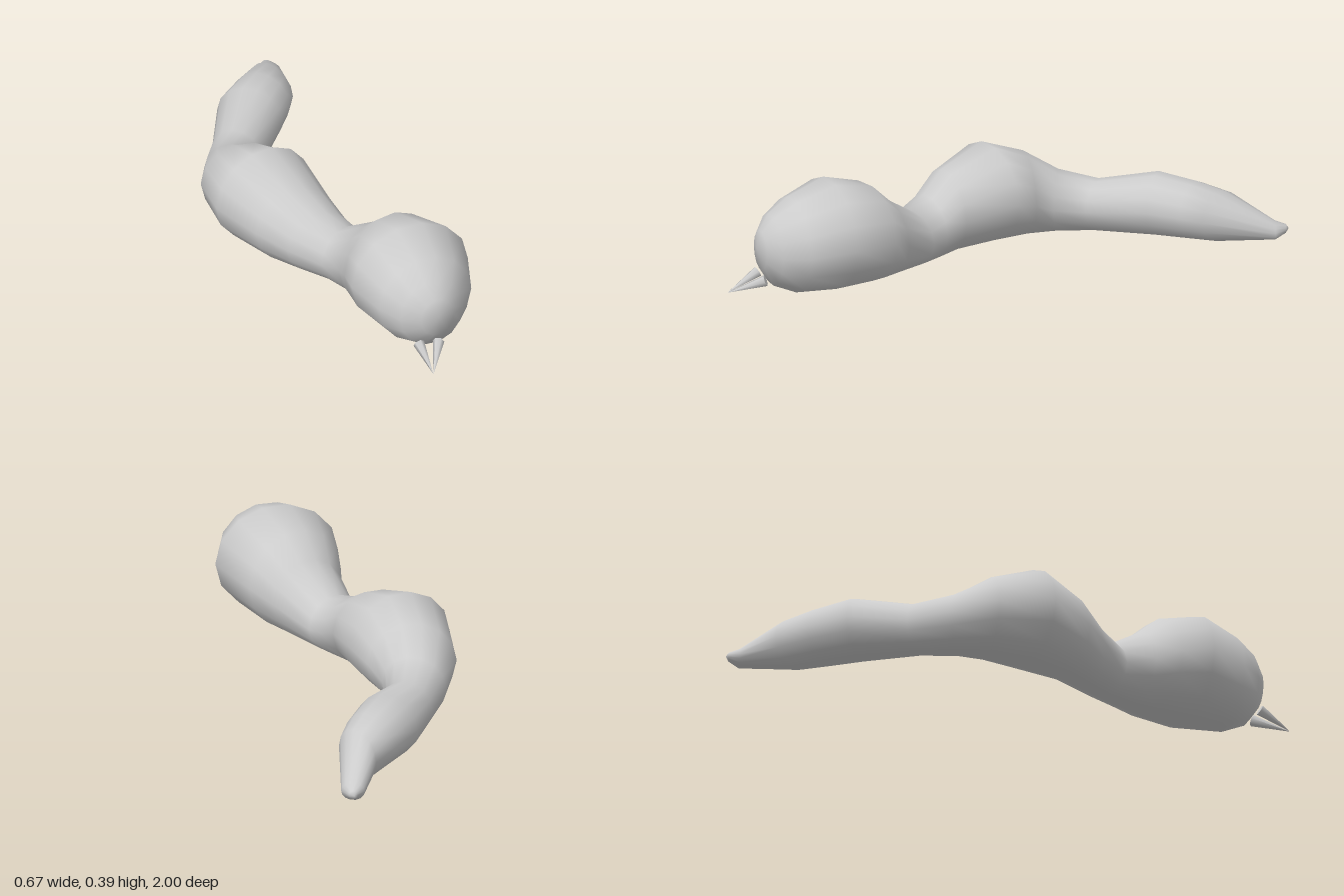
import * as THREE from 'three';

const SIDES = 14;

// Body rings from head to tail: right edge (x, z), left edge (x, z), bottom y, top y
const RINGS = [
  [0.06, 0.90, 0.18, 0.90, 0.11, 0.25],
  [0.00, 0.86, 0.23, 0.86, 0.05, 0.30],
  [-0.05, 0.79, 0.29, 0.78, 0.02, 0.35],
  [-0.10, 0.66, 0.335, 0.63, 0.015, 0.40],
  [-0.085, 0.55, 0.257, 0.45, 0.01, 0.36],
  [-0.07, 0.46, 0.19, 0.38, 0.01, 0.285],
  [-0.09, 0.345, 0.095, 0.25, 0.007, 0.20],
  [-0.17, 0.24, 0.07, 0.19, 0.005, 0.225],
  [-0.25, 0.145, 0.045, 0.11, 0.005, 0.285],
  [-0.335, -0.01, 0.03, -0.09, 0.004, 0.345],
  [-0.315, -0.21, -0.01, -0.17, 0.005, 0.29],
  [-0.245, -0.357, -0.045, -0.246, 0.004, 0.215],
  [-0.165, -0.49, -0.03, -0.36, 0.003, 0.182],
  [-0.075, -0.675, 0.105, -0.525, 0.002, 0.22],
  [0.03, -0.78, 0.17, -0.62, 0.002, 0.20],
  [0.115, -0.86, 0.207, -0.69, 0.001, 0.175],
  [0.18, -0.965, 0.257, -0.94, 0, 0.065],
  [0.21, -0.995, 0.24, -0.985, 0.02, 0.05],
];

// Smooth skin lofted through the rings and closed at both ends
function bodyGeometry() {
  const pos = [], index = [];
  for (const [rx, rz, lx, lz, y0, y1] of RINGS) {
    for (let j = 0; j < SIDES; j++) {
      const a = (j / SIDES) * Math.PI * 2;
      const t = 0.5 + 0.5 * Math.cos(a);
      pos.push(rx + (lx - rx) * t, (y0 + y1) / 2 + Math.sin(a) * (y1 - y0) / 2, rz + (lz - rz) * t);
    }
  }
  const nose = pos.length / 3, tail = nose + 1, last = (RINGS.length - 1) * SIDES;
  pos.push(0.12, 0.19, 0.915, 0.225, 0.035, -1);
  for (let j = 0; j < SIDES; j++) {
    const k = (j + 1) % SIDES;
    for (let i = 0; i < last; i += SIDES) {
      index.push(i + j, i + SIDES + j, i + k, i + k, i + SIDES + j, i + SIDES + k);
    }
    index.push(nose, j, k, tail, last + k, last + j);
  }
  const geo = new THREE.BufferGeometry();
  geo.setAttribute('position', new THREE.Float32BufferAttribute(pos, 3));
  geo.setIndex(index);
  geo.computeVertexNormals();
  return geo;
}

// Pointed fang running from its root to the shared tip
function fang(root, tip, material) {
  const dir = tip.clone().sub(root);
  const mesh = new THREE.Mesh(new THREE.ConeGeometry(0.02, dir.length(), 6), material);
  mesh.position.copy(root).add(tip).multiplyScalar(0.5);
  mesh.quaternion.setFromUnitVectors(new THREE.Vector3(0, 1, 0), dir.normalize());
  return mesh;
}

export function createModel() {
  const model = new THREE.Group();
  model.name = 'grub';
  const skin = new THREE.MeshStandardMaterial({ color: 0xcccccc });

  const body = new THREE.Mesh(bodyGeometry(), skin);
  body.name = 'body';
  model.add(body);

  const tip = new THREE.Vector3(0.067, 0.022, 1);
  [['rightFang', 0.058, 0.08], ['leftFang', 0.13, 0.072]].forEach(([name, x, y]) => {
    const mesh = fang(new THREE.Vector3(x, y, 0.885), tip, skin);
    mesh.name = name;
    model.add(mesh);
  });
  return model;
}
